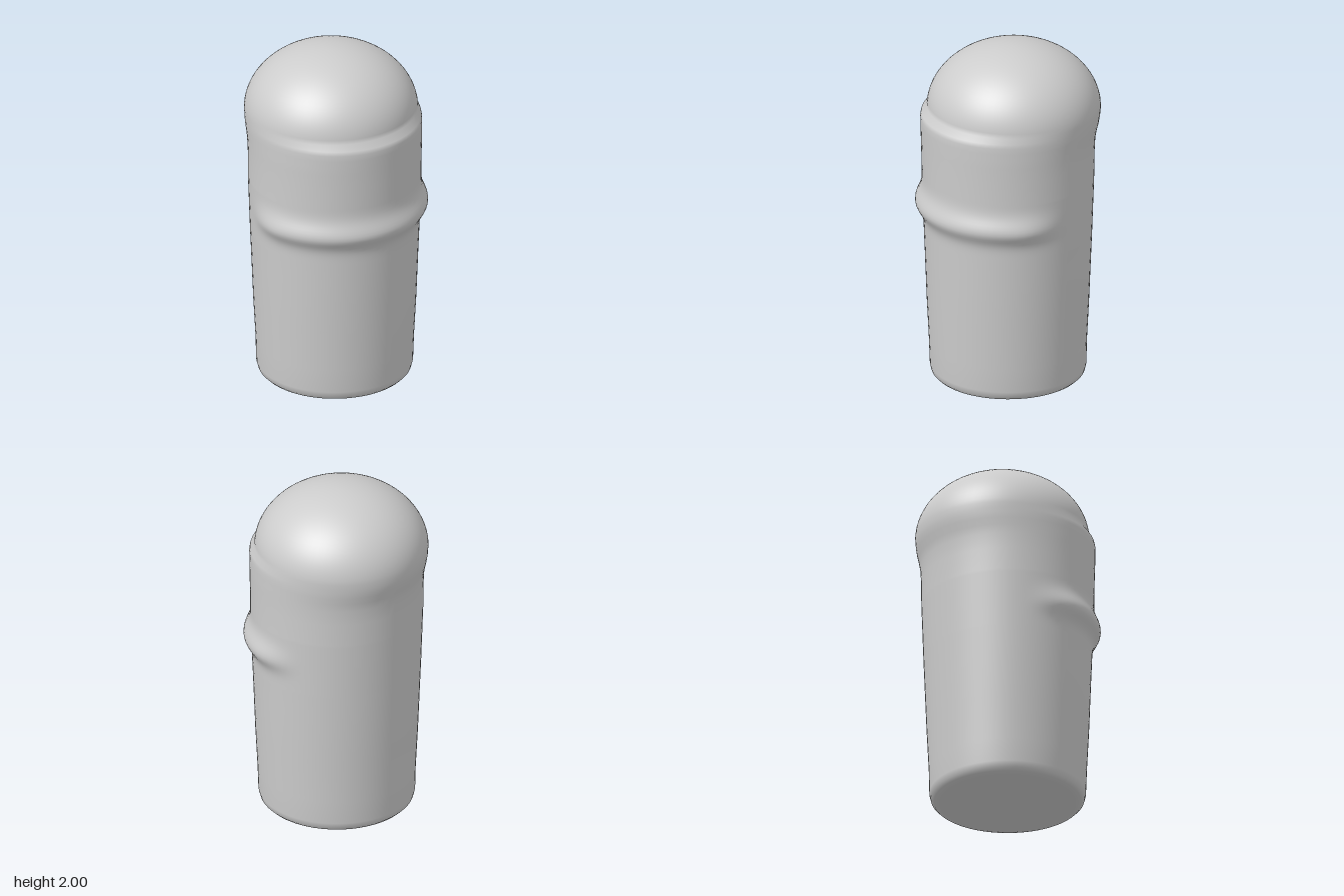
import * as THREE from 'three';

const SEGMENTS = 72;

// Cross-sections: height, reach to -x, reach to +x, half depth in z
const sections = [
  [0, 0.385, 0.385, 0.385], [0.008, 0.415, 0.415, 0.415], [0.025, 0.432, 0.432, 0.432],
  [0.06, 0.44, 0.44, 0.442], [0.2, 0.443, 0.445, 0.446], [0.45, 0.455, 0.457, 0.46],
  [0.75, 0.467, 0.468, 0.472],
];
// Close rows where the raised band swells out
for (let i = 0; i <= 20; i++) {
  const y = 0.88 + i * 0.0175, r = 0.472 + i * 0.0006;
  sections.push([y, r, r + 0.001, r + 0.006]);
}
// Shoulder, overhanging towards -x
sections.push(
  [1.36, 0.486, 0.488, 0.489], [1.45, 0.491, 0.491, 0.492], [1.5, 0.502, 0.493, 0.493],
  [1.54, 0.514, 0.494, 0.494], [1.575, 0.521, 0.495, 0.495], [1.6, 0.524, 0.489, 0.493],
);
// Domed head, centred slightly towards -x
for (let i = 0; i < 22; i++) {
  const a = 0.03 + (i / 22) * (Math.PI / 2 - 0.03);
  const c = 0.49 * Math.cos(a);
  sections.push([1.62 + 0.38 * Math.sin(a), c + 0.035, c - 0.035, c]);
}

// Raised band, wrapped round the +x half and fading out past the front and back
function band(angle, y) {
  const away = Math.abs(Math.atan2(Math.sin(angle), Math.cos(angle)));
  const fade = 1 - THREE.MathUtils.smoothstep(away, 1.25, 1.9);
  const d = y - 1.055;
  const width = d > 0 ? 0.055 : 0.045;
  return 0.043 * fade * Math.exp(-d * d / (2 * width * width));
}

function shellGeometry() {
  const pos = [], index = [];
  for (const [y, left, right, depth] of sections) {
    const cx = (right - left) / 2, rx = (right + left) / 2;
    for (let s = 0; s < SEGMENTS; s++) {
      const a = (s / SEGMENTS) * Math.PI * 2;
      const b = band(a, y);
      pos.push(cx + (rx + b) * Math.cos(a), y, (depth + b) * Math.sin(a));
    }
  }
  for (let r = 0; r < sections.length - 1; r++) {
    for (let s = 0; s < SEGMENTS; s++) {
      const n = (s + 1) % SEGMENTS;
      const a = r * SEGMENTS + s, b = r * SEGMENTS + n;
      index.push(a, a + SEGMENTS, b, b, a + SEGMENTS, b + SEGMENTS);
    }
  }
  // Crown of the dome
  const top = pos.length / 3, last = top - SEGMENTS;
  pos.push(-0.035, 2, 0);
  for (let s = 0; s < SEGMENTS; s++) index.push(last + s, top, last + (s + 1) % SEGMENTS);

  const g = new THREE.BufferGeometry();
  g.setAttribute('position', new THREE.Float32BufferAttribute(pos, 3));
  g.setIndex(index);
  g.computeVertexNormals();
  return g;
}

export function createModel() {
  const group = new THREE.Group();
  const lightGrey = new THREE.MeshStandardMaterial({ color: 0xcccccc });
  lightGrey.name = 'light grey';

  const shell = new THREE.Mesh(shellGeometry(), lightGrey);
  shell.name = 'domedBody';

  // Flat underside
  const base = new THREE.Mesh(new THREE.CircleGeometry(0.385, SEGMENTS).rotateX(Math.PI / 2), lightGrey);
  base.name = 'base';

  group.add(shell, base);
  return group;
}
